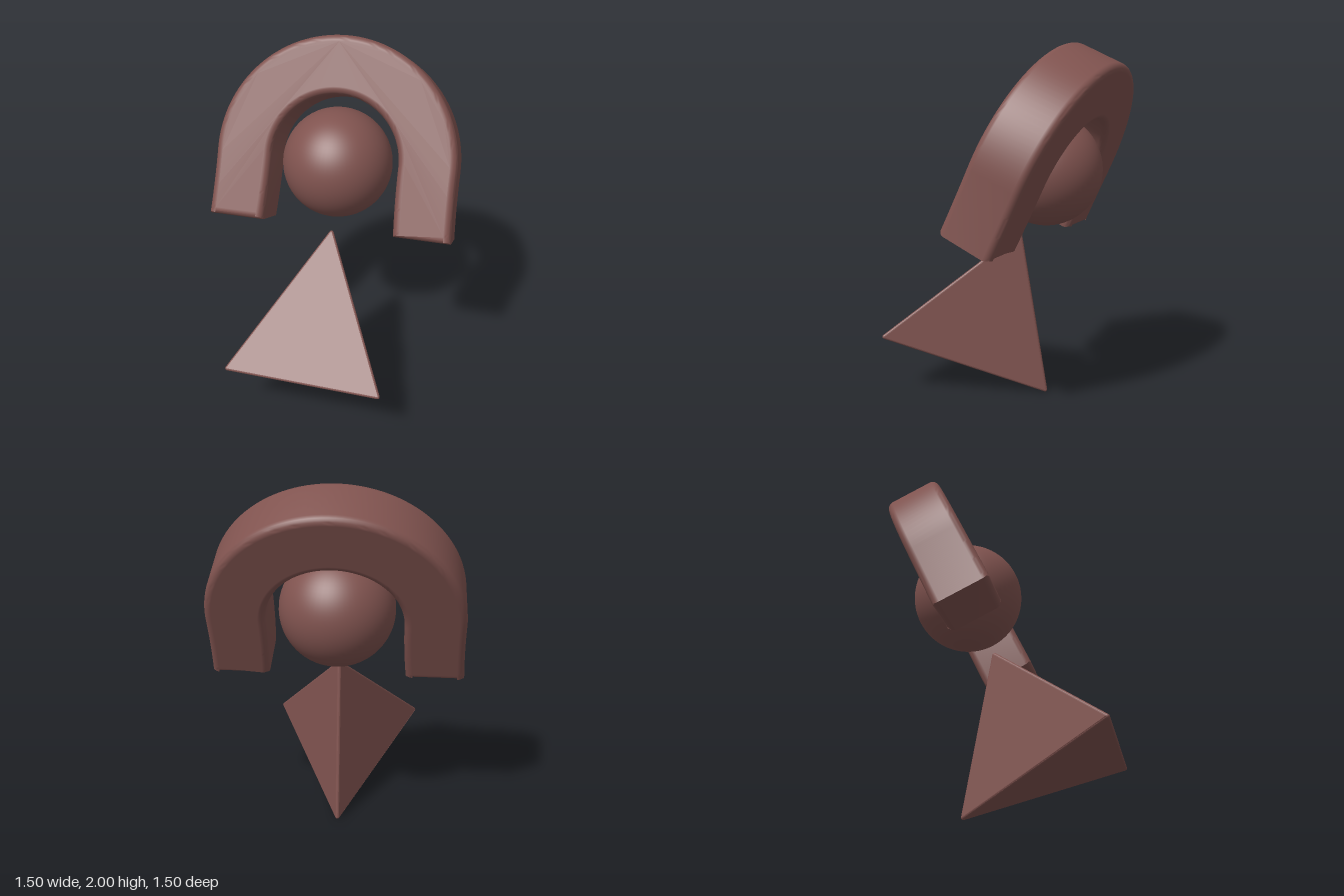
import * as THREE from 'three';
import { toCreasedNormals } from 'three/addons/utils/BufferGeometryUtils.js';
import { ConvexGeometry } from 'three/addons/geometries/ConvexGeometry.js';

const material = new THREE.MeshStandardMaterial({ color: 0x80534f });

function addMesh(parent, name, geometry) {
  const mesh = new THREE.Mesh(geometry, material);
  mesh.name = name;
  parent.add(mesh);
  return mesh;
}

// Horseshoe outline: half ring easing into slightly flared legs, given a soft bevel
function archGeometry() {
  const outer = 0.69, inner = 0.365, outerFoot = 0.703, innerFoot = 0.38;
  const leg = 0.385, depth = 0.32, bevel = 0.04;
  const shape = new THREE.Shape();
  shape.moveTo(outerFoot, -leg);
  shape.quadraticCurveTo(outer, -leg / 2, outer, 0);
  shape.absarc(0, 0, outer, 0, Math.PI, false);
  shape.quadraticCurveTo(-outer, -leg / 2, -outerFoot, -leg);
  shape.lineTo(-innerFoot, -leg);
  shape.quadraticCurveTo(-inner, -leg / 2, -inner, 0);
  shape.absarc(0, 0, inner, Math.PI, 0, true);
  shape.quadraticCurveTo(inner, -leg / 2, innerFoot, -leg);
  shape.closePath();
  const extruded = new THREE.ExtrudeGeometry(shape, {
    depth: depth - 2 * bevel,
    curveSegments: 32,
    bevelSize: bevel,
    bevelThickness: bevel,
    bevelOffset: -bevel,
    bevelSegments: 6,
  });
  extruded.translate(0, 0, bevel - depth / 2);
  const geometry = toCreasedNormals(extruded, 0.6);

  // Keep the front and back faces perfectly flat in shading
  const position = geometry.getAttribute('position');
  const normal = geometry.getAttribute('normal');
  const onFace = (i) => Math.abs(Math.abs(position.getZ(i)) - depth / 2) < 1e-4;
  for (let i = 0; i < position.count; i++) {
    if (onFace(i)) normal.setXYZ(i, 0, 0, Math.sign(position.getZ(i)));
  }
  return geometry;
}

// Four-cornered solid whose tips and edges are rounded by a small ball at each corner
function tetrahedronGeometry() {
  const radius = 0.013;
  const corners = [
    [0, 0.938, -0.06],
    [-0.75, 0.348, 0.237],
    [-0.02, 0.342, 0.745],
    [0.09, 0, -0.2],
  ].map((c) => new THREE.Vector3(...c));
  const middle = new THREE.Vector3();
  corners.forEach((c) => middle.addScaledVector(c, 0.25));

  const ball = new THREE.IcosahedronGeometry(radius, 2).getAttribute('position');
  const points = [];
  for (const corner of corners) {
    const inset = middle.clone().sub(corner).setLength(radius).add(corner);
    for (let i = 0; i < ball.count; i++) {
      points.push(new THREE.Vector3().fromBufferAttribute(ball, i).add(inset));
    }
  }
  return new ConvexGeometry(points);
}

export function createModel() {
  const model = new THREE.Group();
  model.name = 'archBallAndTetrahedron';

  // Arch turned sideways and leaning back over the ball
  const arch = addMesh(model, 'arch', archGeometry());
  arch.position.set(0.092, 1.32, -0.194);
  arch.rotation.set(-0.436, -0.599, 0, 'YXZ');

  const ball = addMesh(model, 'ball', new THREE.SphereGeometry(0.315, 64, 40));
  ball.position.set(0.085, 1.309, -0.19);

  // Solid standing on one corner below
  addMesh(model, 'tetrahedron', tetrahedronGeometry());
  return model;
}
